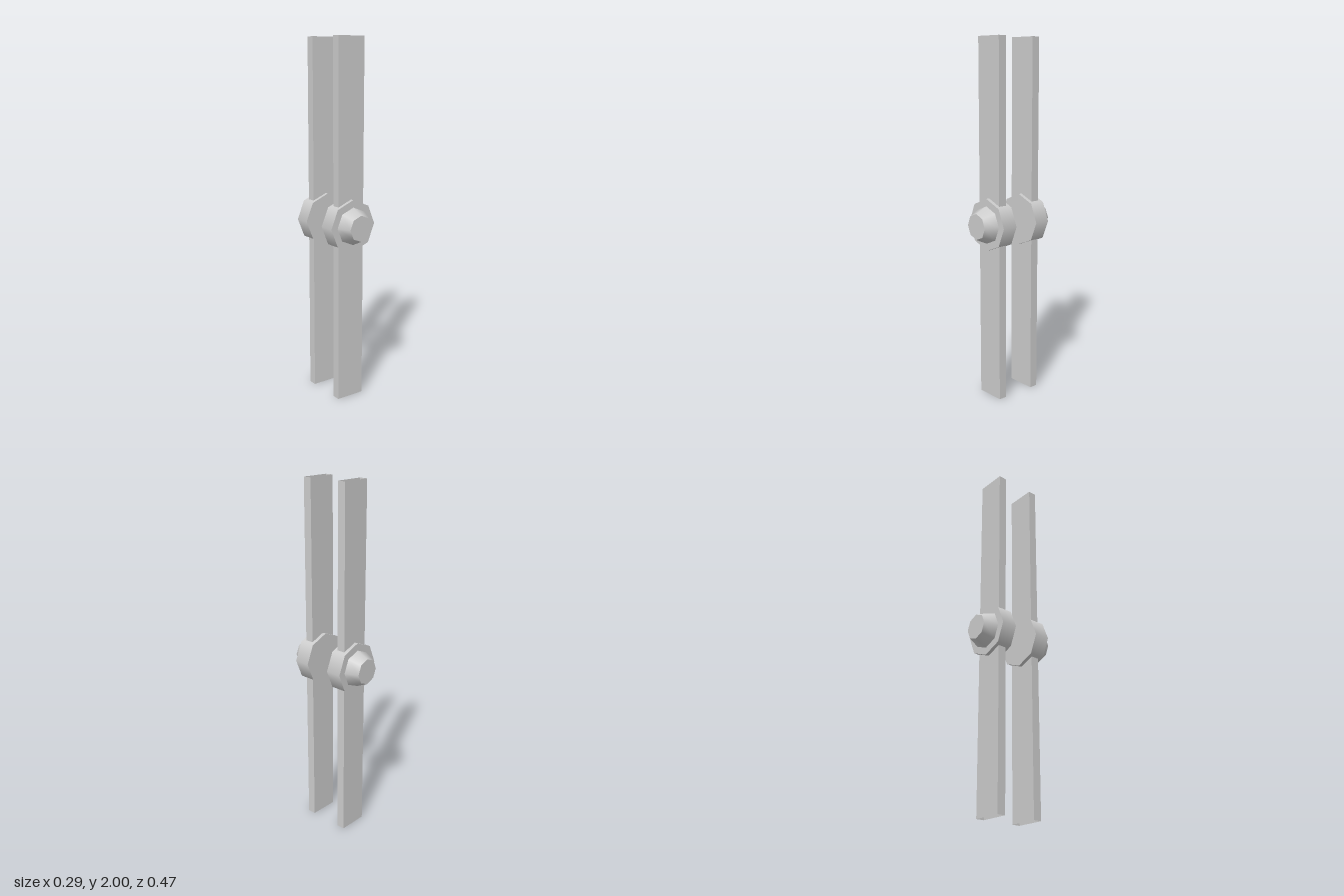
import * as THREE from 'three';

const R = 0.145, HALF = 0.083;            // hub radius, half width of the bar
const Z = [0.073, 0.094, 0.142, 0.163];   // hub back, bar back, bar front, hub front

// Octagonal hub wall with slots above and below where the hollow bar passes
function hubWallGeometry() {
  const ring = [];
  for (let k = 0; k < 8; k++) {
    const a = (k * Math.PI) / 4, b = ((k + 1) * Math.PI) / 4;
    const p = new THREE.Vector2(R * Math.cos(a), R * Math.sin(a));
    const q = new THREE.Vector2(R * Math.cos(b), R * Math.sin(b));
    ring.push(p);
    // extra point where the bar's side crosses this facet
    for (const x of [HALF, -HALF]) {
      const t = (x - p.x) / (q.x - p.x);
      if (t > 0.01 && t < 0.99) ring.push(p.clone().lerp(q, t));
    }
  }
  const pos = [], nor = [], idx = [];
  for (let i = 0; i < ring.length; i++) {
    const p = ring[i], q = ring[(i + 1) % ring.length];
    for (let j = 0; j < 3; j++) {
      if (j === 1 && Math.abs(p.x + q.x) / 2 < HALF) continue;
      const n = pos.length / 3;
      for (const [v, z] of [[p, Z[j]], [q, Z[j]], [q, Z[j + 1]], [p, Z[j + 1]]]) {
        const d = v.clone().normalize();
        pos.push(v.x, v.y, z);
        nor.push(d.x, d.y, 0);
      }
      idx.push(n, n + 1, n + 2, n, n + 2, n + 3);
    }
  }
  const g = new THREE.BufferGeometry();
  g.setAttribute('position', new THREE.Float32BufferAttribute(pos, 3));
  g.setAttribute('normal', new THREE.Float32BufferAttribute(nor, 3));
  g.setIndex(idx);
  return g;
}

// Rectangular tube, open at both ends
function barGeometry() {
  const g = new THREE.BoxGeometry(HALF * 2, 2, Z[2] - Z[1]);
  const idx = Array.from(g.index.array);
  g.setIndex([...idx.slice(0, 12), ...idx.slice(24)]);
  return g.translate(0, 0, (Z[1] + Z[2]) / 2);
}

export function createModel() {
  const solid = new THREE.MeshStandardMaterial({ color: 0xcccccc });
  const open = new THREE.MeshStandardMaterial({ color: 0xcccccc, side: THREE.DoubleSide });
  const model = new THREE.Group();
  model.name = 'pairedBars';

  const add = (parent, name, geometry, material) => {
    const mesh = new THREE.Mesh(geometry, material);
    mesh.name = name;
    parent.add(mesh);
    return mesh;
  };

  for (const side of ['front', 'back']) {
    const half = new THREE.Group();
    half.name = side + 'Assembly';
    half.position.y = 1;
    if (side === 'back') half.rotation.y = Math.PI;

    add(half, 'bar', barGeometry(), open);
    add(half, 'hubWall', hubWallGeometry(), open);

    // Flat octagonal hub faces
    add(half, 'hubFrontFace', new THREE.CircleGeometry(R, 8), solid).position.z = Z[3];
    const inner = add(half, 'hubInnerFace', new THREE.CircleGeometry(R, 8), solid);
    inner.position.z = Z[0];
    inner.rotation.y = Math.PI;

    // Tapered boss
    const boss = new THREE.CylinderGeometry(0.072, 0.104, 0.071, 8);
    boss.rotateX(Math.PI / 2).translate(0, 0, Z[3] + 0.0355);
    add(half, 'boss', boss, solid);

    model.add(half);
  }
  return model;
}
